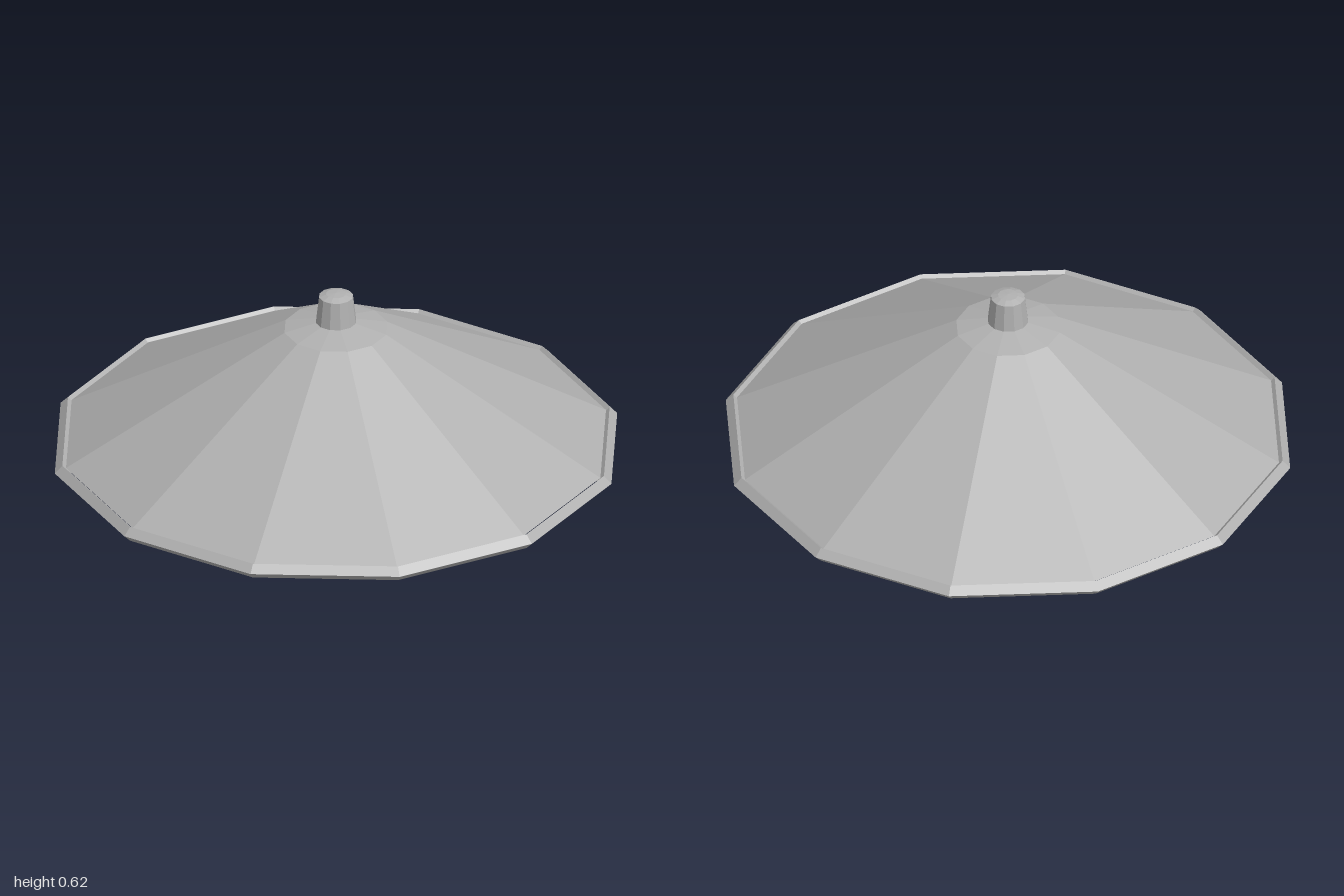
import * as THREE from 'three';

const SIDES = 12;

export function createModel() {
  const group = new THREE.Group();
  group.name = 'shallowConeShade';
  const metal = new THREE.MeshStandardMaterial({ color: 0xb0b0b0, flatShading: true });
  metal.name = 'grey metal';

  // Faceted ring of a profile given as [radius, height] pairs, counterclockwise
  function turned(name, profile) {
    const points = profile.map(([r, y]) => new THREE.Vector2(r, y));
    const mesh = new THREE.Mesh(new THREE.LatheGeometry(points, SIDES), metal);
    mesh.name = name;
    group.add(mesh);
  }

  // Diamond-section rim around the edge
  turned('rim', [[0.973, 0], [1, 0.027], [0.973, 0.054], [0.946, 0.027], [0.973, 0]]);

  // Sloping shell and its flatter crown
  turned('shell', [[0.96, 0.044], [0.183, 0.484]]);
  turned('crown', [[0.183, 0.484], [0.07, 0.51], [0, 0.515]]);

  // Shallow underside
  turned('underside', [[0, 0.07], [0.955, 0.018]]);

  // Tapered knob with a slightly domed top
  turned('knob', [[0.072, 0.505], [0.06, 0.608], [0.035, 0.617], [0, 0.62]]);

  return group;
}
